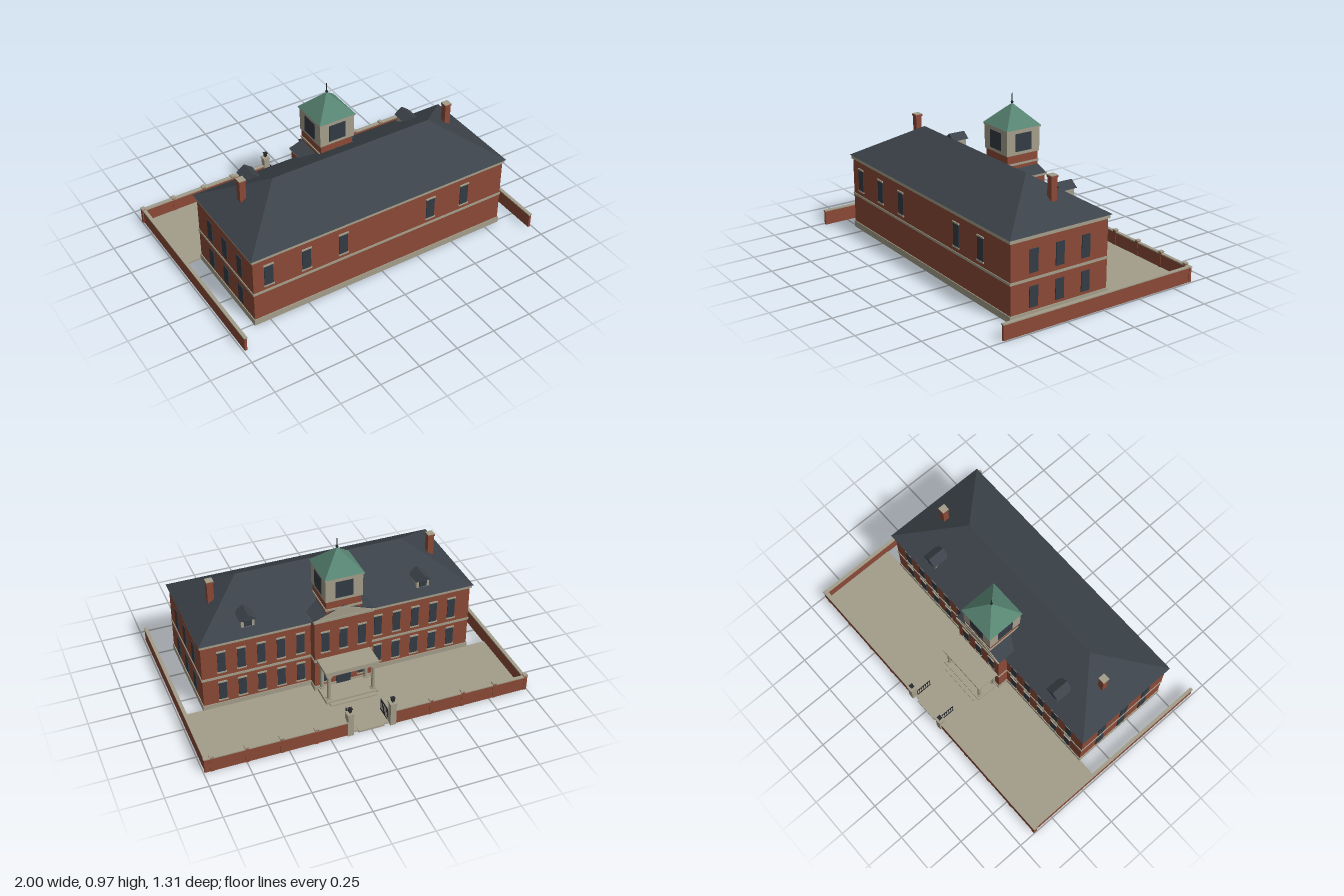
import * as THREE from 'three';

const mat = (name, color) => {
  const m = new THREE.MeshStandardMaterial({ color });
  m.name = name;
  return m;
};

export function createModel() {
  const brick = mat('brick', 0x8a4936);
  const stone = mat('stone', 0xa39d8a);
  const slate = mat('slate', 0x3b4249);
  const glass = mat('glass', 0x343b44);
  const copper = mat('copper', 0x578472);
  const iron = mat('iron', 0x26282b);
  const model = new THREE.Group();
  model.name = 'brickHall';

  const add = (name, geometry, material) => {
    const m = new THREE.Mesh(geometry, material);
    m.name = name;
    model.add(m);
    return m;
  };
  // Box given by its low and high limits on each axis
  const box = (name, material, x0, x1, y0, y1, z0, z1) => {
    const g = new THREE.BoxGeometry(x1 - x0, y1 - y0, z1 - z0);
    g.translate((x0 + x1) / 2, (y0 + y1) / 2, (z0 + z1) / 2);
    return add(name, g, material);
  };
  // Hipped roof: eaves half sizes hx, hz and half ridge length r
  const hip = (name, material, hx, hz, r, y0, y1, zc) => {
    const a = [-hx, y0, hz], b = [hx, y0, hz], c = [hx, y0, -hz], d = [-hx, y0, -hz];
    const e = [-r, y1, 0], f = [r, y1, 0];
    const faces = [[a, b, f], [b, c, f], [c, d, e], [d, a, e], [a, d, c], [a, c, b]];
    if (r > 0) faces.push([a, f, e], [c, e, f]);
    const g = new THREE.BufferGeometry();
    g.setAttribute('position', new THREE.Float32BufferAttribute(faces.flat(2), 3));
    g.computeVertexNormals();
    g.translate(0, 0, zc);
    return add(name, g, material);
  };
  // Triangular prism running along z
  const gable = (name, material, xc, hx, y0, y1, z0, z1) => {
    const s = new THREE.Shape([
      new THREE.Vector2(-hx, y0), new THREE.Vector2(hx, y0), new THREE.Vector2(0, y1)]);
    const g = new THREE.ExtrudeGeometry(s, { depth: z1 - z0, bevelEnabled: false });
    g.translate(xc, 0, z0);
    return add(name, g, material);
  };

  // Main block
  box('plinth', stone, -0.85, 0.85, 0, 0.04, -0.145, 0.515);
  box('mainWalls', brick, -0.845, 0.845, 0.04, 0.455, -0.14, 0.51);
  box('beltCourse', stone, -0.849, 0.849, 0.216, 0.231, -0.144, 0.514);
  box('cornice', stone, -0.853, 0.853, 0.453, 0.476, -0.15, 0.518);
  hip('mainRoof', slate, 0.86, 0.3425, 0.525, 0.476, 0.686, 0.1825);

  // Entrance pavilion with pediment
  box('pavilionPlinth', stone, -0.184, 0.184, 0, 0.04, -0.21, -0.13);
  box('pavilionWalls', brick, -0.18, 0.18, 0.04, 0.5, -0.205, -0.09);
  box('pavilionBelt', stone, -0.184, 0.184, 0.216, 0.231, -0.209, -0.13);
  box('pavilionCornice', stone, -0.188, 0.188, 0.5, 0.516, -0.217, -0.06);
  gable('pediment', stone, 0, 0.182, 0.514, 0.581, -0.213, -0.2);
  gable('pedimentRoof', slate, 0, 0.192, 0.515, 0.586, -0.208, 0.02);

  // Windows: thin glass plates with stone sill and lintel
  const zWindow = (x, y0, y1, z, s, w = 0.028) => {
    const plate = (name, m, hw, a, b, t) =>
      box(name, m, x - hw, x + hw, a, b, Math.min(z, z + s * t), Math.max(z, z + s * t));
    plate('window', glass, w, y0, y1, 0.004);
    plate('sill', stone, w + 0.005, y0 - 0.009, y0, 0.007);
    plate('lintel', stone, w + 0.004, y1, y1 + 0.009, 0.007);
  };
  for (const x of [-0.748, -0.508, -0.268, 0.328, 0.568]) zWindow(x, 0.265, 0.4, 0.51, 1);
  for (const s of [-1, 1]) {
    for (let i = 0; i < 5; i++) {
      const x = s * (0.245 + i * 0.12);
      zWindow(x, 0.265, 0.4, -0.14, -1, 0.024);
      zWindow(x, 0.065, 0.185, -0.14, -1, 0.024);
    }
    zWindow(s * 0.115, 0.065, 0.185, -0.205, -1, 0.024);
    for (const z of [0.012, 0.187, 0.36])
      for (const [y0, y1] of [[0.26, 0.395], [0.06, 0.182]]) {
        const x = s * 0.847;
        box('sideWindow', glass, x - 0.003, x + 0.003, y0, y1, z - 0.028, z + 0.028);
      }
  }
  for (const x of [-0.115, 0, 0.115]) zWindow(x, 0.285, 0.42, -0.205, -1, 0.024);
  box('door', glass, -0.045, 0.045, 0.02, 0.17, -0.213, -0.204);

  // Portico
  box('porticoStep', stone, -0.147, 0.147, 0, 0.018, -0.383, -0.2);
  box('porticoFloor', stone, -0.165, 0.165, 0, 0.028, -0.357, -0.2);
  box('porticoCanopy', stone, -0.16, 0.16, 0.2, 0.222, -0.343, -0.2);
  box('porticoRoof', stone, -0.168, 0.168, 0.22, 0.236, -0.351, -0.2);
  for (const x of [-0.14, 0.14])
    for (const z of [-0.329, -0.215]) {
      const shaft = new THREE.CylinderGeometry(0.0105, 0.012, 0.18, 12);
      add('porticoColumn', shaft, stone).position.set(x, 0.11, z);
      box('columnCapital', stone, x - 0.015, x + 0.015, 0.19, 0.201, z - 0.015, z + 0.015);
      box('columnBase', stone, x - 0.015, x + 0.015, 0.026, 0.036, z - 0.015, z + 0.015);
    }

  // Tower and lantern
  const tz = -0.097;
  const towerBox = (name, m, h, y0, y1) => box(name, m, -h, h, y0, y1, tz - h, tz + h);
  towerBox('towerBase', brick, 0.108, 0.47, 0.632);
  towerBox('towerBand', stone, 0.113, 0.567, 0.579);
  towerBox('lantern', stone, 0.115, 0.63, 0.778);
  towerBox('lanternCornice', stone, 0.121, 0.776, 0.786);
  hip('lanternRoof', copper, 0.123, 0.123, 0, 0.785, 0.912, tz);
  box('lanternWindowsFrontBack', glass, -0.055, 0.055, 0.65, 0.758, tz - 0.118, tz + 0.118);
  box('lanternWindowsSides', glass, -0.118, 0.118, 0.65, 0.758, tz - 0.055, tz + 0.055);
  add('finialRod', new THREE.CylinderGeometry(0.002, 0.003, 0.066, 8), iron).position.set(0, 0.938, tz);
  add('finialBall', new THREE.SphereGeometry(0.008, 12, 8), iron).position.set(0, 0.917, tz);

  for (const s of [-1, 1]) {
    // Chimneys
    const cx = s * 0.695, cz = 0.131;
    const stack = (name, m, h, y0, y1) => box(name, m, cx - h, cx + h, y0, y1, cz - h, cz + h);
    stack('chimney', brick, 0.019, 0.52, 0.704);
    stack('chimneyCap', brick, 0.023, 0.702, 0.712);
    stack('chimneyTop', stone, 0.022, 0.712, 0.716);

    // Dormers
    const dx = s * 0.546;
    box('dormer', stone, dx - 0.04, dx + 0.04, 0.49, 0.56, -0.105, -0.02);
    gable('dormerGable', stone, dx, 0.042, 0.558, 0.59, -0.108, -0.1);
    gable('dormerRoof', slate, dx, 0.051, 0.559, 0.597, -0.117, -0.006);
    box('dormerWindow', glass, dx - 0.024, dx + 0.024, 0.515, 0.555, -0.109, -0.104);
  }

  // Forecourt
  box('forecourt', stone, -0.985, 0.985, 0, 0.01, -0.628, -0.14);
  box('gateThreshold', stone, -0.08, 0.08, 0, 0.012, -0.641, -0.6);

  // Boundary walls, gate piers, lamps and open gates
  for (const s of [-1, 1]) {
    const span = (a, b) => [Math.min(s * a, s * b), Math.max(s * a, s * b)];
    box('sideWall', brick, ...span(0.975, 0.99), 0, 0.09, -0.635, 0.655);
    box('sideCoping', stone, ...span(0.972, 0.993), 0.089, 0.096, -0.637, 0.657);
    box('gateWall', brick, ...span(0.13, 0.993), 0, 0.09, -0.64, -0.624);
    box('gateWallCoping', stone, ...span(0.13, 0.996), 0.089, 0.096, -0.643, -0.621);

    const px = s * 0.131, pz = -0.632;
    const pier = (name, m, h, y0, y1) => box(name, m, px - h, px + h, y0, y1, pz - h, pz + h);
    pier('gatePier', stone, 0.018, 0, 0.148);
    pier('gatePierCap', stone, 0.022, 0.146, 0.156);
    pier('lampStem', iron, 0.004, 0.155, 0.166);
    pier('lampBody', iron, 0.009, 0.165, 0.183);
    pier('lampCap', iron, 0.012, 0.183, 0.188);

    const gx = s * 0.109;
    const bar = (y0, y1, z0, z1) => box('gateBar', iron, gx - 0.002, gx + 0.002, y0, y1, z0, z1);
    bar(0.018, 0.023, -0.615, -0.513);
    bar(0.092, 0.097, -0.615, -0.513);
    for (let i = 0; i < 7; i++) {
      const z = -0.613 + i * 0.016;
      bar(0.018, 0.097, z - 0.0015, z + 0.0015);
    }
  }
  // Small wall posts
  for (const start of [-0.987, 0.335])
    for (let i = 0; i < 4; i++) {
      const x = start + i * 0.205;
      box('wallPost', brick, x - 0.011, x + 0.011, 0, 0.102, -0.643, -0.621);
      box('wallPostCap', stone, x - 0.013, x + 0.013, 0.101, 0.108, -0.645, -0.619);
    }

  return model;
}
